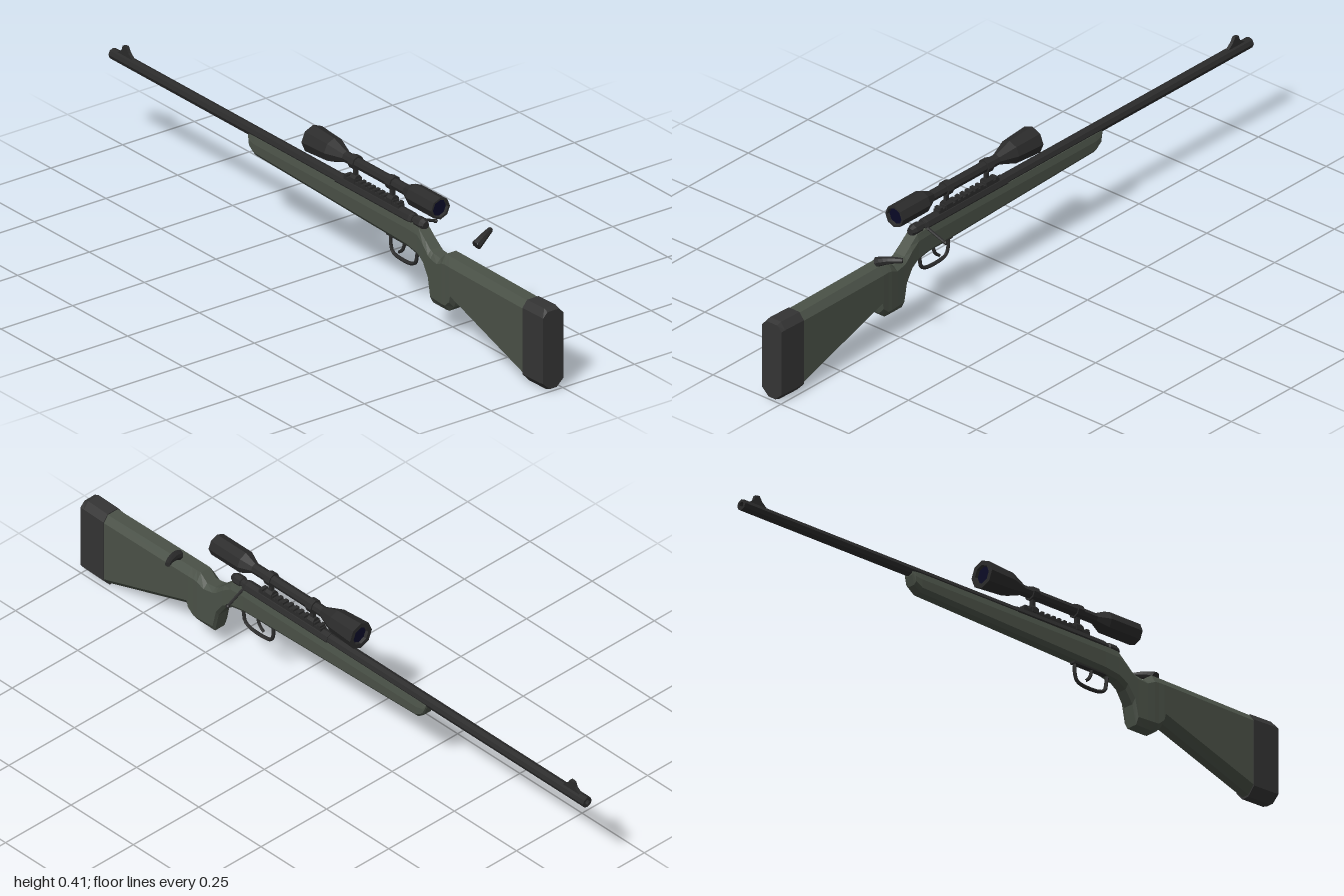
import * as THREE from 'three';

const mat = (name, color) => {
  const m = new THREE.MeshStandardMaterial({ color, flatShading: true });
  m.name = name;
  return m;
};

// Octagonal loft along z; section = [z, bottom, top, halfWidth, bottomHalf, topHalf, bottomChamfer, topChamfer]
function loft(sections) {
  const pos = [], idx = [], n = sections.length;
  for (const [z, yb, yt, w, bw, tw, cb, ct] of sections) {
    for (const [x, y] of [[-bw, yb], [bw, yb], [w, yb + cb], [w, yt - ct], [tw, yt], [-tw, yt], [-w, yt - ct], [-w, yb + cb]]) {
      pos.push(x, y, z);
    }
  }
  for (let i = 0; i < n - 1; i++) {
    for (let j = 0; j < 8; j++) {
      const a = i * 8 + j, b = i * 8 + (j + 1) % 8;
      idx.push(a, a + 8, b, b, a + 8, b + 8);
    }
  }
  const e = (n - 1) * 8;
  for (let j = 1; j < 7; j++) idx.push(0, j, j + 1, e, e + j + 1, e + j);
  const g = new THREE.BufferGeometry();
  g.setAttribute('position', new THREE.Float32BufferAttribute(pos, 3));
  g.setIndex(idx);
  const flat = g.toNonIndexed();
  flat.computeVertexNormals();
  return flat;
}

// Turned part along z; points = [radius, z] with z increasing
const turned = (points, sides = 8) =>
  new THREE.LatheGeometry(points.map(([r, z]) => new THREE.Vector2(r, z)), sides).rotateX(Math.PI / 2);

// Side outline given as [z, y], extruded across x
function plate(outline, width) {
  const shape = new THREE.Shape(outline.map(([z, y]) => new THREE.Vector2(-z, y)));
  return new THREE.ExtrudeGeometry(shape, { depth: width, bevelEnabled: false })
    .translate(0, 0, -width / 2).rotateY(Math.PI / 2);
}

const vecs = (list) => list.map((p) => new THREE.Vector3(...p));

export function createModel() {
  const model = new THREE.Group();
  model.name = 'scopedRifle';
  const body = new THREE.Group();
  body.name = 'rifleBody';
  body.position.x = -0.033;
  model.add(body);

  const green = mat('stockGreen', 0x4a5147);
  const rubber = mat('padGrey', 0x343434);
  const metal = mat('gunMetal', 0x2b2b2b);
  const glass = mat('lensBlue', 0x0a0a26);
  const add = (name, geo, material, parent = body) => {
    const m = new THREE.Mesh(geo, material);
    m.name = name;
    parent.add(m);
    return m;
  };

  // Butt pad and stock
  add('buttPad', loft([
    [1, 0.008, 0.245, 0.036, 0.012, 0.02, 0.022, 0.016],
    [0.985, 0.002, 0.251, 0.036, 0.012, 0.02, 0.026, 0.021],
    [0.907, 0, 0.249, 0.036, 0.012, 0.02, 0.026, 0.021],
  ]), rubber);
  add('stock', loft([
    [0.907, 0.006, 0.246, 0.034, 0.012, 0.019, 0.024, 0.021],
    [0.575, 0.118, 0.25, 0.034, 0.014, 0.018, 0.022, 0.023],
    [0.57, 0.1, 0.25, 0.034, 0.016, 0.018, 0.02, 0.023],
    [0.55, 0.082, 0.25, 0.033, 0.018, 0.018, 0.02, 0.023],
    [0.535, 0.081, 0.25, 0.033, 0.018, 0.018, 0.02, 0.025],
    [0.51, 0.081, 0.227, 0.031, 0.018, 0.017, 0.02, 0.014],
    [0.477, 0.081, 0.231, 0.028, 0.018, 0.017, 0.02, 0.014],
    [0.465, 0.14, 0.236, 0.027, 0.016, 0.017, 0.016, 0.014],
    [0.44, 0.178, 0.258, 0.025, 0.015, 0.017, 0.014, 0.014],
    [0.41, 0.197, 0.283, 0.023, 0.014, 0.017, 0.013, 0.02],
    [0.36, 0.206, 0.285, 0.022, 0.013, 0.017, 0.012, 0.02],
    [-0.335, 0.228, 0.285, 0.022, 0.013, 0.017, 0.012, 0.02],
    [-0.357, 0.245, 0.284, 0.02, 0.012, 0.016, 0.008, 0.015],
    [-0.366, 0.272, 0.283, 0.016, 0.012, 0.014, 0.004, 0.004],
  ]), green);

  // Barrel with an open muzzle, receiver and bolt
  add('barrel', turned([[0, -0.97], [0.008, -0.97], [0.008, -1], [0.0165, -1], [0.0165, 0.37], [0, 0.37]]), metal)
    .position.y = 0.289;
  add('receiver', turned([[0, 0.03], [0.019, 0.03], [0.019, 0.36], [0.0165, 0.372], [0, 0.372]]), metal).position.y = 0.288;
  add('bolt', turned([[0.012, 0.36], [0.012, 0.382], [0.017, 0.384], [0.017, 0.408], [0.011, 0.422], [0, 0.422]]), metal)
    .position.y = 0.29;
  add('boltHandle', new THREE.TubeGeometry(
    new THREE.LineCurve3(...vecs([[0.01, 0.287, 0.367], [0.078, 0.26, 0.363]])), 1, 0.0045, 6), metal);
  add('boltKnob', new THREE.IcosahedronGeometry(0.007, 0), metal).position.set(0.078, 0.26, 0.363);

  // Front sight ramp
  add('frontSight', plate([[-0.905, 0.302], [-0.925, 0.318], [-0.935, 0.334], [-0.95, 0.332], [-0.955, 0.318], [-0.975, 0.302]], 0.01), metal);

  // Toothed scope rail
  add('rail', new THREE.BoxGeometry(0.022, 0.012, 0.25), metal).position.set(0, 0.306, 0.185);
  for (let i = 0; i < 12; i++) {
    add('railTooth', new THREE.BoxGeometry(0.022, 0.007, 0.011), metal).position.set(0, 0.315, 0.069 + i * 0.0211);
  }

  // Scope
  const scope = new THREE.Group();
  scope.name = 'scope';
  scope.position.y = 0.366;
  body.add(scope);
  add('scopeTube', turned([
    [0.026, -0.08], [0.028, -0.09], [0.042, -0.09], [0.036, 0.005], [0.016, 0.06],
    [0.016, 0.335], [0.033, 0.372], [0.033, 0.488], [0.027, 0.488], [0.025, 0.478],
  ]), metal, scope);
  add('rearLens', new THREE.CircleGeometry(0.026, 8), glass, scope).position.z = 0.479;
  const frontLens = add('frontLens', new THREE.CircleGeometry(0.027, 8), glass, scope);
  frontLens.rotation.y = Math.PI;
  frontLens.position.z = -0.081;
  for (const z of [0.27, 0.102]) {
    add('scopeRing', turned([[0.016, -0.011], [0.021, -0.011], [0.021, 0.011], [0.016, 0.011]]), metal, scope).position.z = z;
    add('mountPost', new THREE.BoxGeometry(0.011, 0.045, 0.012), metal).position.set(0, 0.332, z);
    add('mountClamp', loft([
      [0.012, 0.306, 0.328, 0.013, 0.013, 0.006, 0.006, 0.008],
      [-0.012, 0.306, 0.328, 0.013, 0.013, 0.006, 0.006, 0.008],
    ]), metal).position.z = z;
  }

  // Trigger guard and trigger
  const guard = new THREE.CatmullRomCurve3(vecs([
    [0, 0.208, 0.385], [0, 0.185, 0.381], [0, 0.16, 0.375], [0, 0.149, 0.355],
    [0, 0.148, 0.29], [0, 0.155, 0.27], [0, 0.175, 0.262], [0, 0.212, 0.262],
  ]));
  add('triggerGuard', new THREE.TubeGeometry(guard, 20, 0.0055, 6), metal);
  add('guardPlate', new THREE.BoxGeometry(0.018, 0.008, 0.14), metal).position.set(0, 0.207, 0.322);
  const triggerPath = new THREE.CatmullRomCurve3(vecs([[0, 0.21, 0.325], [0, 0.19, 0.322], [0, 0.175, 0.314], [0, 0.164, 0.3]]));
  add('trigger', new THREE.TubeGeometry(triggerPath, 8, 0.005, 6), metal);

  // Separate curved lever beside the stock, tapering outwards
  const path = new THREE.QuadraticBezierCurve3(...vecs([[0.037, 0.285, 0.602], [0.07, 0.303, 0.596], [0.107, 0.303, 0.574]]));
  const steps = 6, sides = 8;
  const lever = new THREE.TubeGeometry(path, steps, 1, sides);
  const p = lever.attributes.position, v = new THREE.Vector3();
  for (let i = 0; i < p.count; i++) {
    const t = Math.floor(i / (sides + 1)) / steps, c = path.getPointAt(t);
    v.fromBufferAttribute(p, i).sub(c).multiplyScalar(0.0145 - 0.0065 * t).add(c);
    p.setXYZ(i, v.x, v.y, v.z);
  }
  lever.computeVertexNormals();
  add('lever', lever, metal);
  for (const [t, r, dir] of [[0, 0.0145, -1], [1, 0.008, 1]]) {
    const cap = add('leverEnd', new THREE.CircleGeometry(r, sides), metal);
    cap.position.copy(path.getPointAt(t));
    cap.quaternion.setFromUnitVectors(new THREE.Vector3(0, 0, 1), path.getTangentAt(t).multiplyScalar(dir));
  }

  return model;
}
